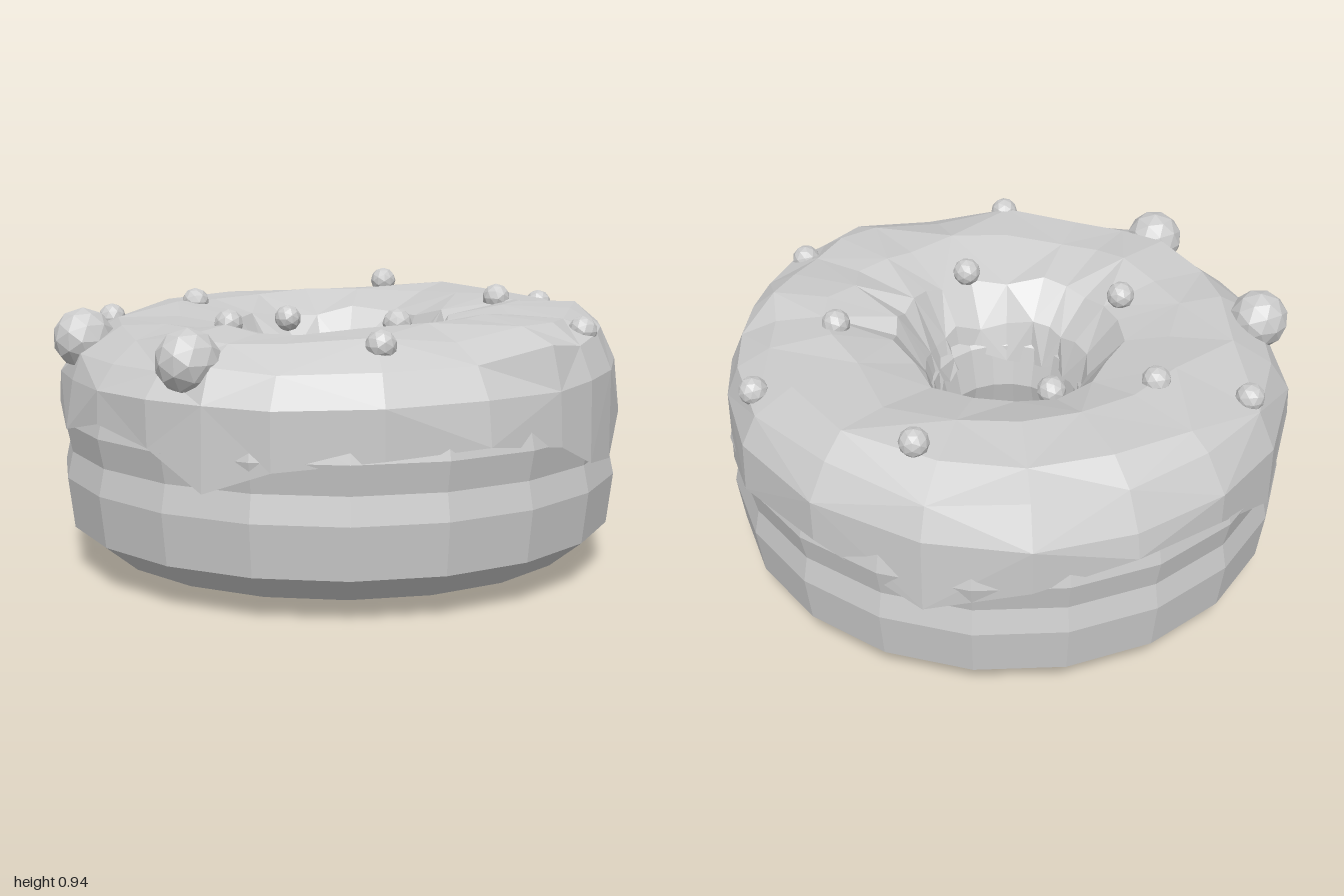
import * as THREE from 'three';

const material = new THREE.MeshStandardMaterial({ color: 0xcccccc, flatShading: true });
const icingMaterial = new THREE.MeshStandardMaterial({ color: 0xcccccc, flatShading: true, side: THREE.DoubleSide });

// Repeatable noise in -1..1
function noise(i, j) {
  const s = Math.sin(i * 127.1 + j * 311.7) * 43758.5453;
  return 2 * (s - Math.floor(s)) - 1;
}

// Closed profile of the dough ring, from the hole under the ring and up again
function makeDough() {
  const profile = [
    [0.225, 0.45], [0.28, 0.22], [0.42, 0.06], [0.63, 0], [0.85, 0.06], [0.965, 0.155],
    [0.985, 0.33], [0.965, 0.42], [0.985, 0.52], [0.95, 0.66], [0.8, 0.77],
    [0.58, 0.79], [0.38, 0.72], [0.26, 0.6], [0.225, 0.45],
  ].map(([r, y]) => new THREE.Vector2(r, y));
  return new THREE.Mesh(new THREE.LatheGeometry(profile, 20), material);
}

// Wavy icing: cross-sections swept around the ring, with a dripping hem
function makeIcing() {
  // Angle from the front in degrees, height of the hem there
  const hem = [
    [0, 0.57], [15, 0.53], [27, 0.41], [40, 0.49], [60, 0.53], [80, 0.55], [98, 0.51],
    [108, 0.43], [119, 0.41], [130, 0.54], [140, 0.66], [150, 0.53], [162, 0.43],
    [180, 0.53], [202, 0.55], [225, 0.42], [245, 0.51], [265, 0.58], [285, 0.56],
    [304, 0.43], [325, 0.55], [345, 0.51],
  ];
  // Radius, height, radial noise, height noise
  const rows = [
    [0.25, 0.55, 0.015, 0.03], [0.29, 0.68, 0.015, 0.02], [0.385, 0.82, 0.03, 0.02],
    [0.6, 0.875, 0.04, 0.015], [0.81, 0.86, 0.03, 0.02], [0.92, 0.8, 0.02, 0.02],
    [0.98, 0.69, 0.012, 0.02],
  ];
  const position = [], index = [];
  const perRing = rows.length + 2;
  hem.forEach(([degrees, hemY], j) => {
    const a = THREE.MathUtils.degToRad(degrees);
    const add = (r, y) => position.push(r * Math.sin(a), y, r * Math.cos(a));
    rows.forEach(([r, y, dr, dy], i) => {
      const tilt = i > 1 ? 0.025 * r * (Math.sin(a) * 0.5 - Math.cos(a)) : 0;
      add(r + dr * noise(i, j), Math.max(y + dy * noise(j, i + 40) + tilt, i === 6 ? hemY + 0.05 : 0));
    });
    add(0.99 + 0.01 * noise(j, 9), hemY);
    add(0.94, hemY + 0.02);
    const next = (j + 1) % hem.length;
    for (let i = 0; i < perRing - 1; i++) {
      const p = j * perRing + i, q = next * perRing + i;
      if ((i + j) % 2) index.push(p, p + 1, q, p + 1, q + 1, q);
      else index.push(p, p + 1, q + 1, p, q + 1, q);
    }
  });
  const geometry = new THREE.BufferGeometry();
  geometry.setAttribute('position', new THREE.Float32BufferAttribute(position, 3));
  geometry.setIndex(index);
  geometry.computeVertexNormals();
  return new THREE.Mesh(geometry, icingMaterial);
}

export function createModel() {
  const group = new THREE.Group();

  const dough = makeDough();
  dough.name = 'dough';
  const icing = makeIcing();
  icing.name = 'icing';
  group.add(dough, icing);

  // Small balls scattered on the icing
  const smallBall = new THREE.IcosahedronGeometry(0.05, 1);
  const sprinkles = new THREE.Group();
  sprinkles.name = 'sprinkles';
  [
    [0.1, 0.835, -0.9], [-0.48, 0.895, -0.6], [0.25, 0.895, -0.53], [0.79, 0.84, -0.41],
    [0.38, 0.86, 0.05], [-0.34, 0.8, -0.02], [-0.54, 0.865, 0.26], [-0.02, 0.85, 0.46],
    [0.72, 0.855, 0.4], [-0.71, 0.81, 0.52],
  ].forEach(([x, y, z], i) => {
    const ball = new THREE.Mesh(smallBall, material);
    ball.name = 'sprinkle';
    ball.position.set(x, y, z);
    ball.rotation.y = i;
    sprinkles.add(ball);
  });
  group.add(sprinkles);

  // Pair of large balls at the front
  const largeBall = new THREE.IcosahedronGeometry(0.105, 1);
  for (const side of [-1, 1]) {
    const ball = new THREE.Mesh(largeBall, material);
    ball.name = side > 0 ? 'leftLargeBall' : 'rightLargeBall';
    ball.position.set(side * 0.33, 0.8, 0.845);
    group.add(ball);
  }
  return group;
}
